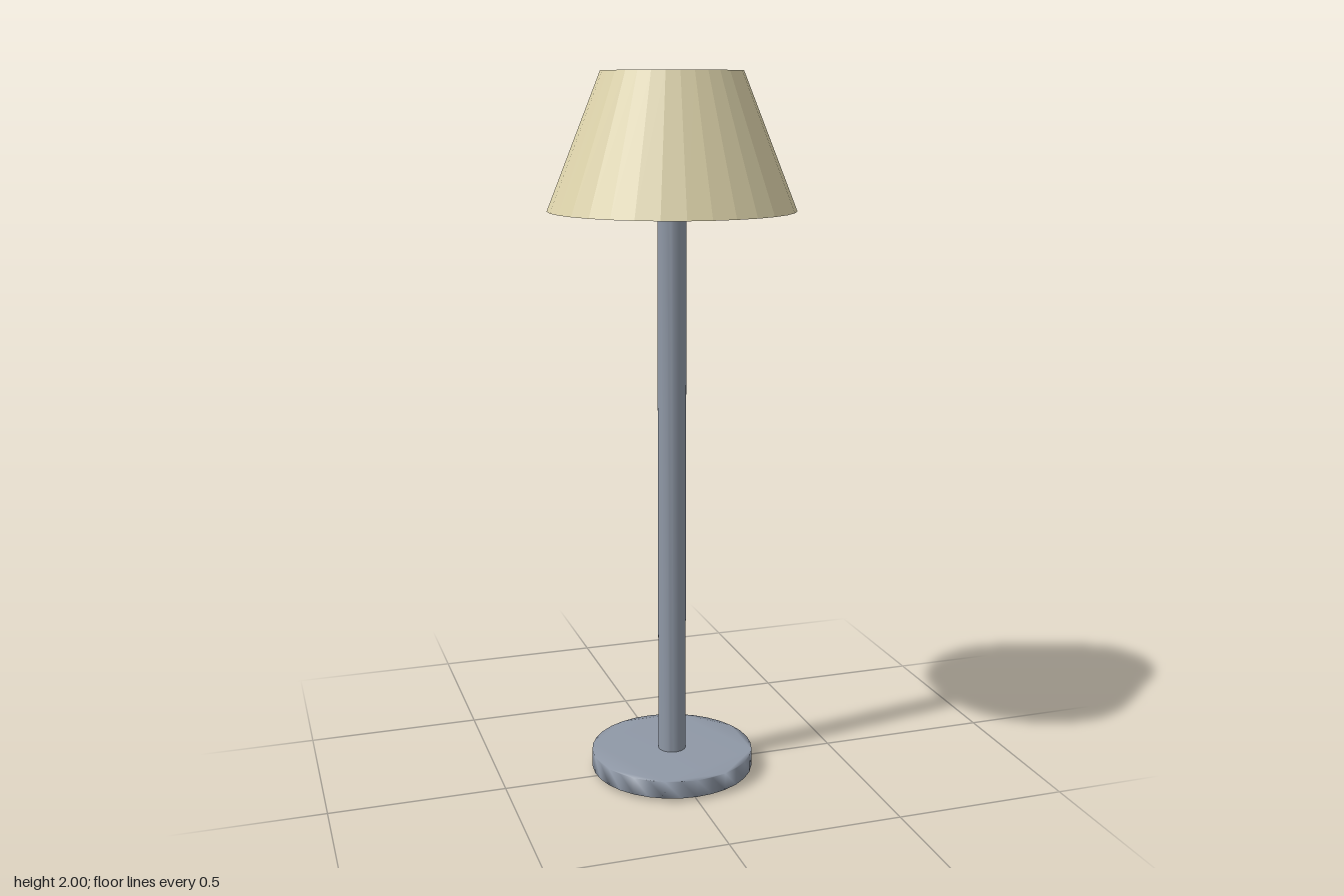
import * as THREE from 'three';
import { mergeVertices } from 'three/addons/utils/BufferGeometryUtils.js';

const SIDES = 32;

// Upright disc or rod whose caps and wall share smoothed normals
function softCylinder(radius, bottom, top) {
  const points = [];
  for (let i = 0; i < SIDES; i++) {
    const a = (i / SIDES) * Math.PI * 2;
    points.push(new THREE.Vector2(Math.cos(a) * radius, Math.sin(a) * radius));
  }
  const raw = new THREE.ExtrudeGeometry(new THREE.Shape(points), {
    depth: top - bottom, bevelEnabled: false, steps: 1,
  });
  raw.rotateX(-Math.PI / 2);
  raw.translate(0, bottom, 0);
  raw.deleteAttribute('normal');
  raw.deleteAttribute('uv');
  const geometry = mergeVertices(raw, 1e-4);
  geometry.computeVertexNormals();
  return geometry;
}

export function createModel() {
  const lamp = new THREE.Group();
  lamp.name = 'floorLamp';

  const metal = new THREE.MeshStandardMaterial({ color: 0x8f98a6 });
  metal.name = 'greyMetal';
  const fabric = new THREE.MeshStandardMaterial({ color: 0xdcd2aa });
  fabric.name = 'creamFabric';

  const add = (name, geometry, material) => {
    const mesh = new THREE.Mesh(geometry, material);
    mesh.name = name;
    lamp.add(mesh);
  };

  // Round foot, with the pole passing just through it
  add('base', softCylinder(0.235, 0.01, 0.06), metal);
  add('pole', softCylinder(0.04, 0, 1.7), metal);

  // Faceted, closed tapered shade
  const shade = new THREE.CylinderGeometry(0.192, 0.34, 0.37, SIDES).toNonIndexed();
  shade.translate(0, 1.815, 0);
  shade.computeVertexNormals();
  add('shade', shade, fabric);

  return lamp;
}
